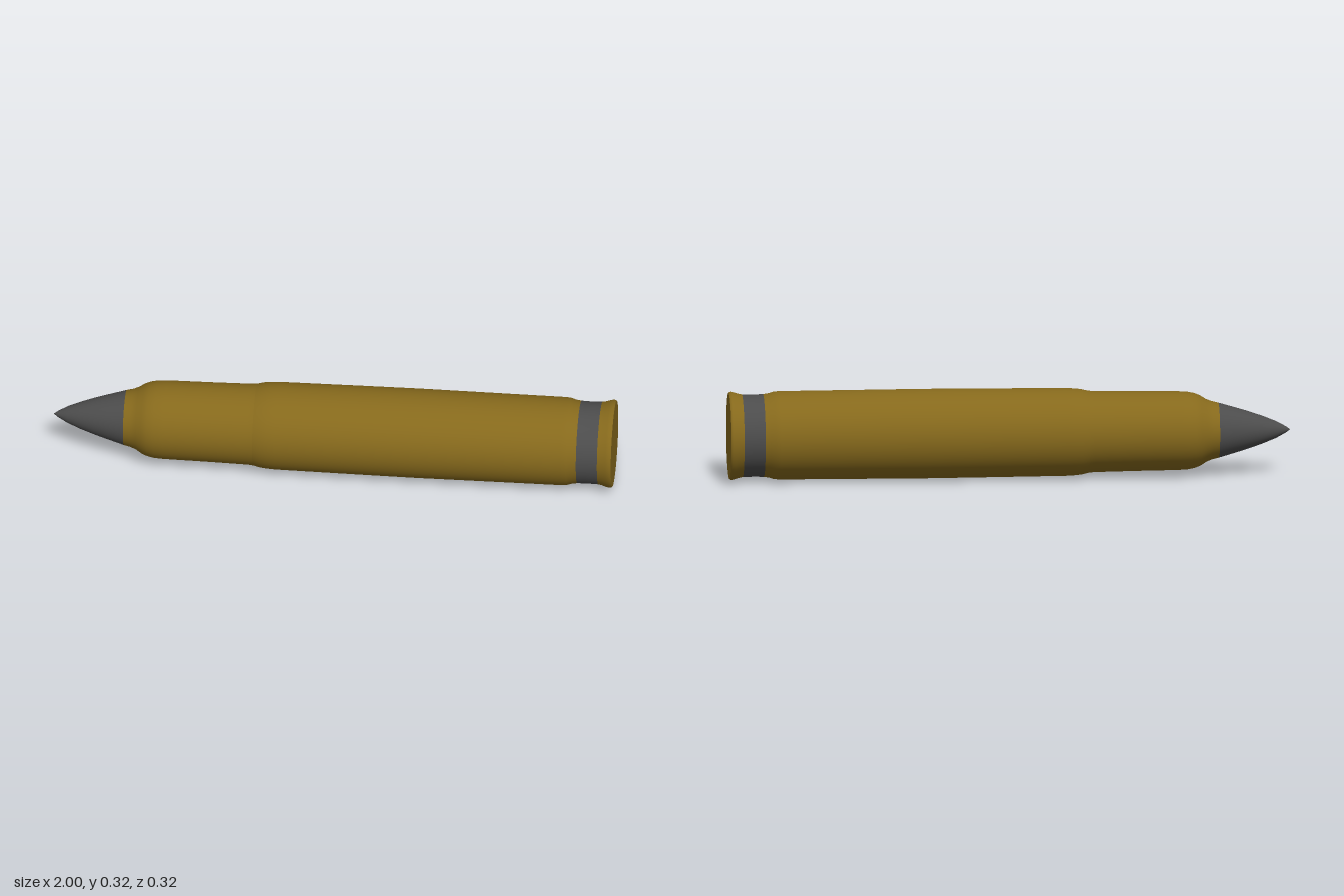
import * as THREE from 'three';

const RADIUS = 0.159;
const brass = new THREE.MeshStandardMaterial({ color: 0x86691c });
const steel = new THREE.MeshStandardMaterial({ color: 0x4c4c4c });

// Smooth surface of revolution along x, from [x, radius] pairs
function turned(name, profile, material) {
  const points = profile.map(([x, r]) => new THREE.Vector2(r, x));
  const geometry = new THREE.LatheGeometry(points, 64);
  geometry.rotateZ(-Math.PI / 2);
  const mesh = new THREE.Mesh(geometry, material);
  mesh.name = name;
  mesh.position.y = RADIUS;
  return mesh;
}

export function createModel() {
  const model = new THREE.Group();
  model.name = 'cartridge';

  // Pointed tip, gently rounded along its length
  model.add(turned('tip', [
    [-1, 0], [-0.985, 0.011], [-0.95, 0.03], [-0.9, 0.05],
    [-0.85, 0.067], [-0.8, 0.082], [-0.745, 0.098],
  ], steel));

  // Neck and narrow front section
  model.add(turned('neck', [
    [-0.745, 0.098], [-0.72, 0.104], [-0.7, 0.112], [-0.68, 0.125],
    [-0.66, 0.133], [-0.635, 0.138], [-0.6, 0.14], [-0.45, 0.1415],
    [-0.3, 0.144], [-0.28, 0.146],
  ], brass));

  // Wider main casing, closing in towards the groove
  model.add(turned('casing', [
    [-0.28, 0.146], [-0.255, 0.152], [-0.23, 0.1545], [-0.2, 0.156],
    [0.1, 0.158], [0.3, 0.159], [0.55, 0.158], [0.82, 0.157],
    [0.84, 0.155], [0.855, 0.15], [0.875, 0.147],
  ], brass));

  // Dark band in the groove
  model.add(turned('grooveBand', [
    [0.875, 0.147], [0.91, 0.146], [0.95, 0.147],
  ], steel));

  // Flared rim
  model.add(turned('rim', [
    [0.95, 0.147], [0.965, 0.15], [0.98, 0.155], [0.99, 0.157],
    [0.996, 0.156], [1, 0.153],
  ], brass));

  // Flat base
  const base = new THREE.Mesh(new THREE.CircleGeometry(0.153, 64).rotateY(Math.PI / 2), brass);
  base.name = 'base';
  base.position.set(1, RADIUS, 0);
  model.add(base);

  return model;
}
